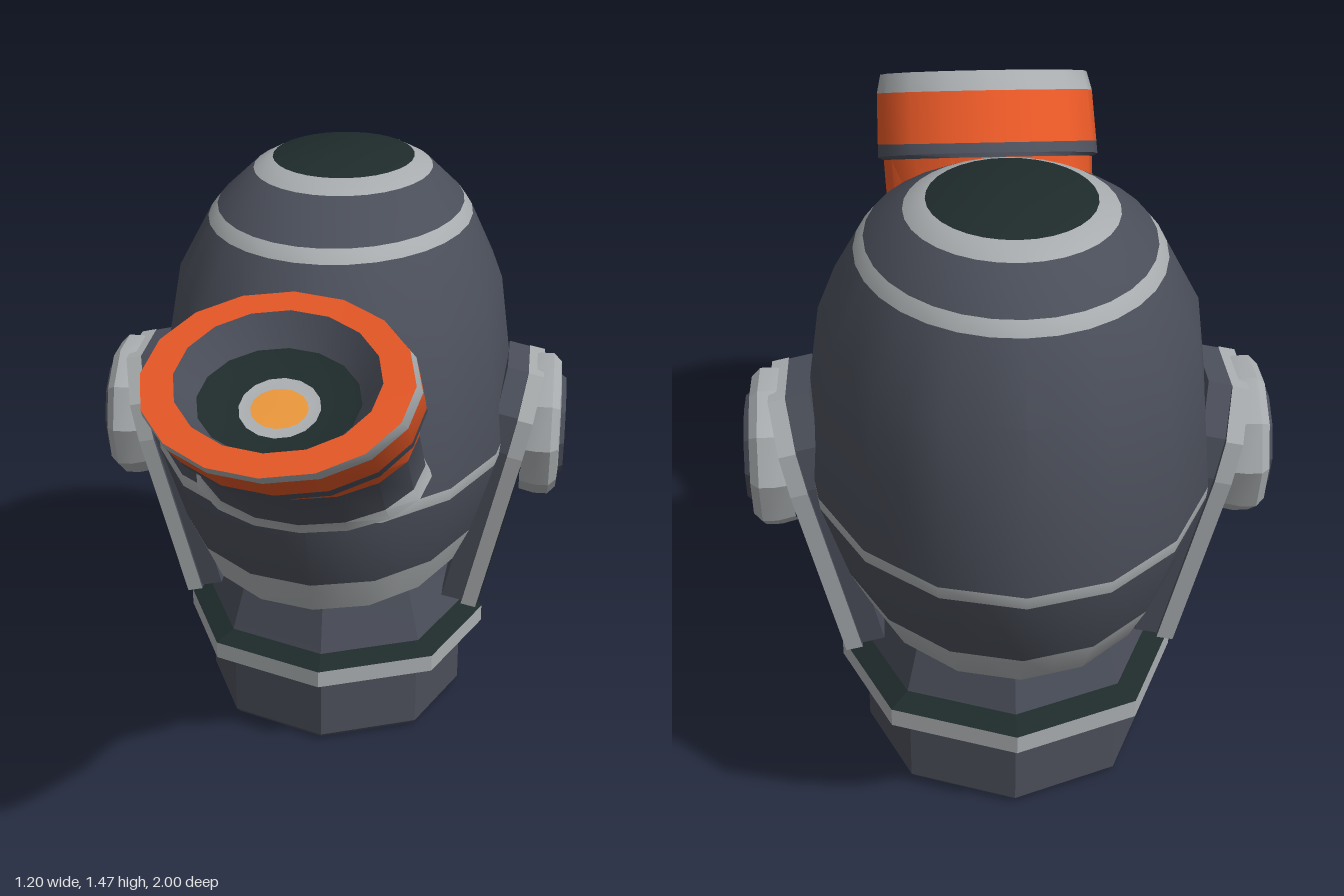
import * as THREE from 'three';
import { toCreasedNormals } from 'three/addons/utils/BufferGeometryUtils.js';

const mat = (name, color) => {
  const m = new THREE.MeshStandardMaterial({ color });
  m.name = name;
  return m;
};

// Skin over elliptical rings { c: centre, u, v: half axes, k: colour of the band up to the next ring }.
// coarse rings keep only every second corner.
function loft(name, rings, n, crease, mats) {
  const pos = [], idx = [], geo = new THREE.BufferGeometry();
  const point = (r, j) => {
    const t = (j / n) * Math.PI * 2;
    return r.c.map((c, i) => c + r.u[i] * Math.cos(t) + r.v[i] * Math.sin(t));
  };
  for (const r of rings) {
    for (let j = 0; j < n; j++) {
      if (r.coarse && j % 2) {
        const a = point(r, j - 1), b = point(r, j + 1);
        pos.push(...a.map((q, i) => (q + b[i]) / 2));
      } else pos.push(...point(r, j));
    }
  }
  for (let i = 0; i < rings.length - 1; i++) {
    geo.addGroup(idx.length, n * 6, rings[i].k);
    for (let j = 0; j < n; j++) {
      const a = i * n + j, b = i * n + (j + 1) % n;
      idx.push(a, a + n, b + n, a, b + n, b);
    }
  }
  geo.setAttribute('position', new THREE.Float32BufferAttribute(pos, 3));
  geo.setIndex(idx);
  const mesh = new THREE.Mesh(toCreasedNormals(geo, crease), mats);
  mesh.name = name;
  return mesh;
}

export function createModel() {
  const model = new THREE.Group();
  model.name = 'turret';
  const slate = mat('slate', 0x4a4e59), grey = mat('light grey', 0xa8acae);
  const teal = mat('dark teal', 0x1f2b2b), orange = mat('orange', 0xe05525);
  const amber = mat('amber', 0xe8953a);
  const mats = [slate, grey, teal, orange, amber];
  const S = 0, G = 1, T = 2, O = 3, A = 4;

  // Octagonal foot, flange and neck: [y, radius, colour]
  const foot = [
    [0, 0, T], [0, 0.33, S], [0.015, 0.345, S], [0.17, 0.345, G], [0.2, 0.405, G],
    [0.245, 0.405, T], [0.268, 0.35, S], [0.42, 0.3, S], [0.5, 0.28, S],
  ].map(([y, r, k]) => ({ c: [0, y, -0.33], u: [r, 0, 0], v: [0, 0, r], k }));
  model.add(loft('base', foot, 8, 0.2, mats));

  // Domed body: [y, half width, front z, back z, colour]
  const body = [
    [0.4, 0, -0.33, -0.33, T], [0.4, 0.21, -0.02, -0.64, T], [0.49, 0.355, 0.18, -0.84, G],
    [0.585, 0.4, 0.23, -0.9, S], [0.785, 0.462, 0.315, -0.995, G], [0.815, 0.465, 0.315, -1, S],
    [1.0, 0.446, 0.265, -0.985, S], [1.18, 0.42, 0.18, -0.96, S], [1.335, 0.338, 0.03, -0.875, G],
    [1.365, 0.315, 0, -0.855, S], [1.44, 0.23, -0.18, -0.755, G],
    [1.465, 0.182, -0.25, -0.7, T], [1.465, 0, -0.475, -0.475, T],
  ].map(([y, w, f, b, k]) => ({
    c: [0, y, (f + b) / 2], u: [w, 0, 0], v: [0, 0, (f - b) / 2], k, coarse: y < 1.3,
  }));
  model.add(loft('body', body, 32, 0.6, mats));

  // Slanted barrel, collar to muzzle, then back into the bore:
  // [lower z, lower y, upper z, upper y, half width, colour]
  const barrel = [
    [0.3, 0.77, -0.12, 0.9, 0.25, S], [0.41, 0.82, -0.06, 0.92, 0.285, G],
    [0.43, 0.85, -0.05, 0.96, 0.27, S], [0.555, 0.975, 0.17, 1.14, 0.265, O],
    [0.755, 1.075, 0.25, 1.275, 0.275, S], [0.765, 1.075, 0.255, 1.285, 0.29, S],
    [0.805, 1.105, 0.285, 1.3, 0.29, O], [0.95, 1.2, 0.42, 1.39, 0.29, G],
    [1.0, 1.235, 0.475, 1.425, 0.28, O], [0.935, 1.258, 0.53, 1.403, 0.213, S],
    [0.87, 1.22, 0.56, 1.33, 0.17, T], [0.79, 1.225, 0.62, 1.287, 0.085, G],
    [0.765, 1.235, 0.655, 1.277, 0.06, A], [0.71, 1.256, 0.71, 1.256, 0, A],
  ].map(([z, y, z2, y2, w, k]) => ({
    c: [0, (y + y2) / 2, (z + z2) / 2], u: [w, 0, 0], v: [0, (y - y2) / 2, (z - z2) / 2], k,
  }));
  model.add(loft('barrel', barrel, 16, 0.5, mats));

  // Tapered plate outline (z, y), extruded along x from x0 to x1
  const plate = (name, half, x0, x1, material) => {
    const pts = [...half, ...half.map(([z, y]) => [-z, y]).reverse()];
    const shape = new THREE.Shape(pts.map(([z, y]) => new THREE.Vector2(-z, y)));
    const geo = new THREE.ExtrudeGeometry(shape, { depth: x1 - x0, bevelEnabled: false });
    geo.rotateY(Math.PI / 2).translate(x0, 0, 0);
    const mesh = new THREE.Mesh(geo, material);
    mesh.name = name;
    return mesh;
  };

  // Side arm with its round pivot cap, one on each side
  const hub = [
    [0.49, 0.175, G], [0.53, 0.185, G], [0.565, 0.185, G], [0.585, 0.165, G],
    [0.588, 0.13, S], [0.6, 0.122, S], [0.6, 0, S],
  ].map(([x, r, k]) => ({ c: [x, 0.8, 0], u: [0, 0, r], v: [0, r, 0], k }));
  for (const side of [1, -1]) {
    const assembly = new THREE.Group();
    assembly.name = side > 0 ? 'leftArm' : 'rightArm';
    const arm = new THREE.Group();
    arm.name = 'arm';
    arm.position.set(0.54, 0.97, 0);
    arm.rotation.z = -0.223;
    const outline = [[0.1, 0], [0.18, -0.1], [0.19, -0.2], [0.135, -0.675]];
    arm.add(plate('armPlate', outline, -0.04, 0, [slate, grey]));
    arm.add(plate('armBlock', outline.map(([z, y]) => [z * 0.94, y * 0.99]), -0.095, -0.04, slate));
    arm.add(plate('armPanel', [[0.16, -0.2], [0.115, -0.64]], 0, 0.005, teal));
    assembly.add(arm, loft('pivotCap', hub, 10, 0.3, mats));
    assembly.position.z = -0.335;
    assembly.rotation.y = side > 0 ? 0 : Math.PI;
    model.add(assembly);
  }
  return model;
}
